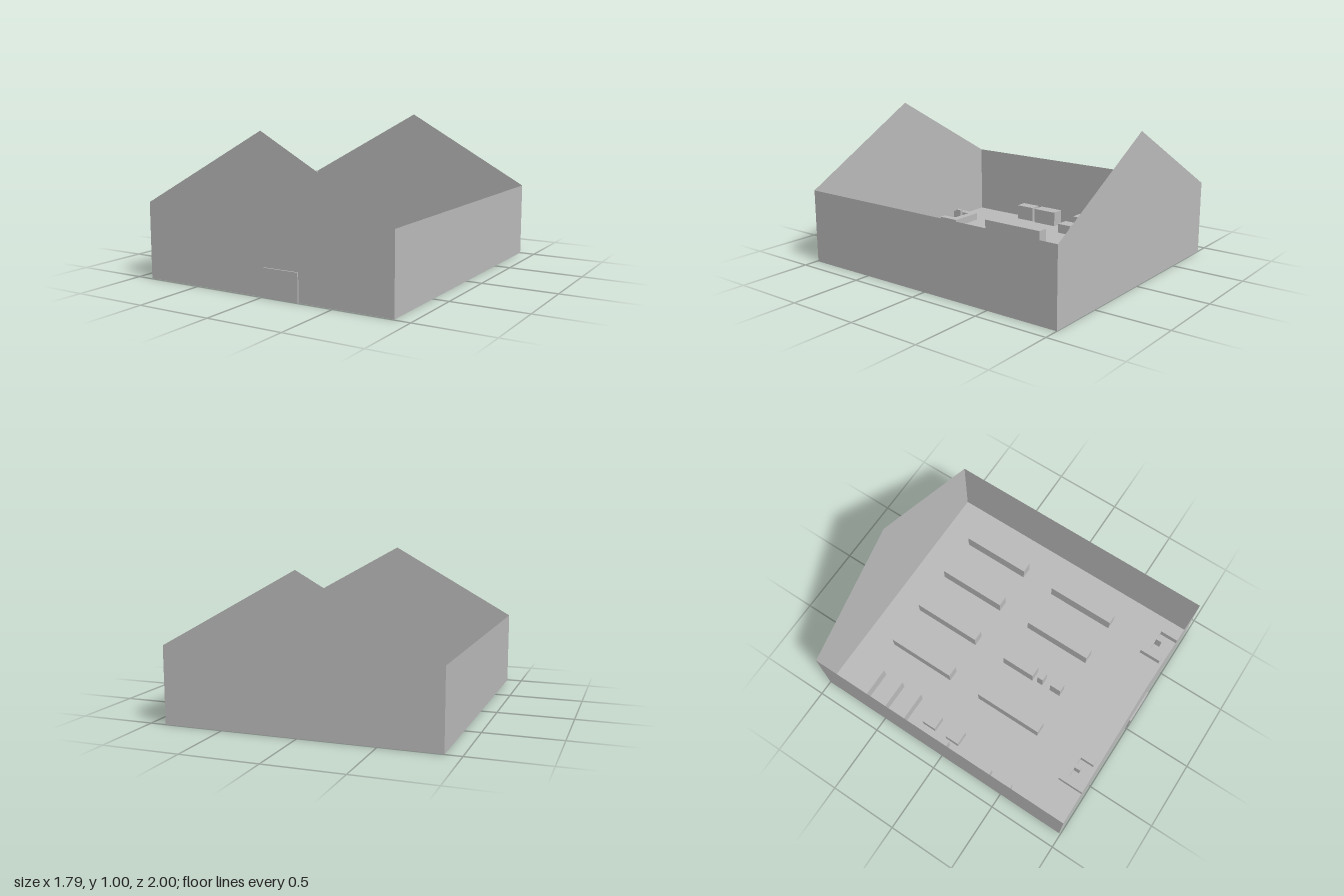
import * as THREE from 'three';

const grey = new THREE.MeshStandardMaterial({ color: 0xbababa, side: THREE.DoubleSide });
grey.name = 'plain grey';

const FRONT = 0.99, BACK = -1, HALF = 0.895, EAVE = 0.505, RIDGE = 1;

export function createModel() {
  const model = new THREE.Group();
  model.name = 'roofless shop';

  function add(name, geometry, parent = model) {
    const mesh = new THREE.Mesh(geometry, grey);
    mesh.name = name;
    parent.add(mesh);
    return mesh;
  }

  // Box standing on the floor, given by its plan limits
  function block(name, x0, x1, z0, z1, height, parent) {
    const geometry = new THREE.BoxGeometry(x1 - x0, height, z1 - z0);
    geometry.translate((x0 + x1) / 2, height / 2, (z0 + z1) / 2);
    return add(name, geometry, parent);
  }

  // Floor
  const depth = FRONT - BACK, middle = (FRONT + BACK) / 2;
  add('floor', new THREE.PlaneGeometry(2 * HALF, depth).rotateX(-Math.PI / 2).translate(0, 0, middle));

  // Thin side walls
  for (const side of [-1, 1]) {
    const wall = new THREE.PlaneGeometry(depth, EAVE).rotateY(side * Math.PI / 2);
    add(side > 0 ? 'leftWall' : 'rightWall', wall.translate(side * HALF, EAVE / 2, middle));
  }

  // Thin gable walls
  const gable = new THREE.Shape([
    [-HALF, 0], [HALF, 0], [HALF, EAVE], [0, RIDGE], [-HALF, EAVE],
  ].map(([x, y]) => new THREE.Vector2(x, y)));
  add('frontGable', new THREE.ShapeGeometry(gable).translate(0, 0, FRONT));
  add('backGable', new THREE.ShapeGeometry(gable).rotateY(Math.PI).translate(0, 0, BACK));

  // Door set through the front wall
  block('door', 0.01, 0.26, 0.985, 1, 0.185);

  // Long shelves in two rows; one front shelf is short
  for (const x of [-0.36, -0.03, 0.3, 0.63]) {
    block('backShelf', x - 0.04, x + 0.04, -0.78, -0.27, 0.11);
    block('frontShelf', x - 0.04, x + 0.04, -0.02, x === -0.03 ? 0.235 : 0.49, 0.11);
  }
  block('smallStand', -0.06, 0, 0.27, 0.315, 0.12);
  block('largeStand', -0.06, 0, 0.38, 0.465, 0.12);

  // Racks projecting from the right wall
  for (const [z0, z1] of [[-0.73, -0.69], [-0.575, -0.525], [-0.43, -0.36]]) {
    block('wallRack', -HALF, -0.625, z0, z1, 0.11);
  }

  // Cabinets along the right wall
  block('cabinet', -HALF, -0.8, -0.185, 0.005, 0.11);
  block('cabinet', -HALF, -0.8, 0.18, 0.37, 0.11);
  block('cabinet', -HALF, -0.81, 0.4, 0.545, 0.11);

  // Square tables
  for (const z of [-0.195, 0.005]) block('table', -0.775, -0.675, z - 0.053, z + 0.053, 0.07);

  // Mirrored U-shaped counters with a till post
  for (const side of [-1, 1]) {
    const counter = new THREE.Group();
    counter.name = side > 0 ? 'leftCounter' : 'rightCounter';
    model.add(counter);
    const part = (name, a, b, z0, z1, h) => {
      const p = 0.118 + side * a, q = 0.118 + side * b;
      block(name, Math.min(p, q), Math.max(p, q), z0, z1, h, counter);
    };
    part('counterBack', 0.438, 0.698, 0.785, 0.84, 0.055);
    part('counterLongArm', 0.648, 0.698, 0.84, FRONT, 0.055);
    part('counterShortArm', 0.438, 0.49, 0.84, 0.945, 0.055);
    part('tillPost', 0.555, 0.583, 0.84, 0.885, 0.1);
  }

  return model;
}
